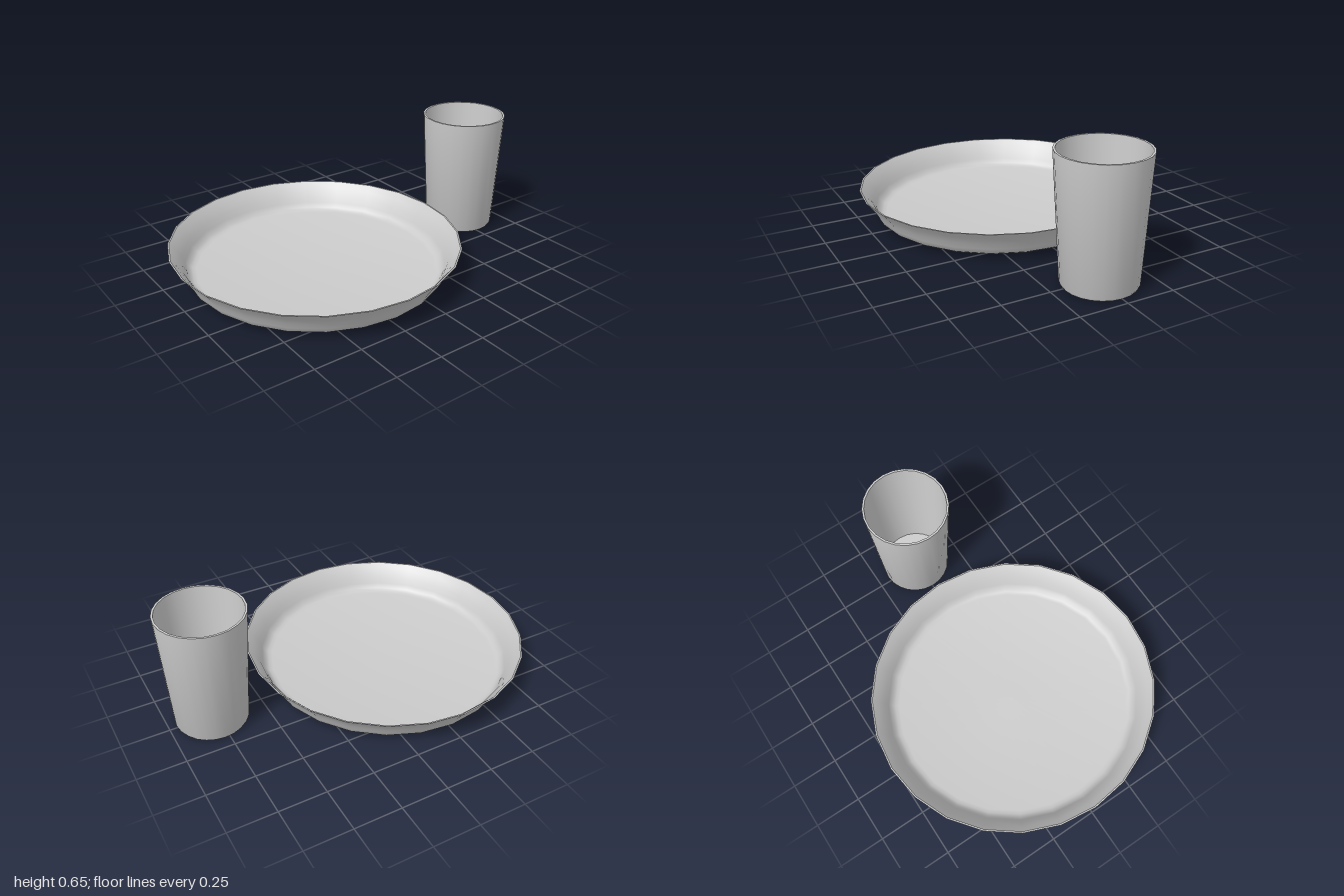
import * as THREE from 'three';
import { toCreasedNormals } from 'three/addons/utils/BufferGeometryUtils.js';

const material = new THREE.MeshStandardMaterial({ color: 0xcccccc });

// Turned part: the profile runs from the underside centre, up the outside,
// over the rim and down the inside to the floor centre.
function turned(name, profile, z) {
  const points = profile.map(([r, y]) => new THREE.Vector2(r, y));
  const geometry = toCreasedNormals(new THREE.LatheGeometry(points, 24), 0.8);
  const mesh = new THREE.Mesh(geometry, material);
  mesh.name = name;
  mesh.position.z = z;
  return mesh;
}

export function createModel() {
  const group = new THREE.Group();
  group.name = 'plateAndCup';

  // Shallow plate with a flared, thin rim, slightly wider than deep
  const plate = turned('plate', [
    [0, 0.018], [0.636, 0.018], [0.66, 0.022], [0.682, 0.036], [0.698, 0.065],
    [0.714, 0.098], [0.745, 0.142], [0.772, 0.174],
    [0.764, 0.174], [0.736, 0.143], [0.705, 0.1], [0.689, 0.068],
    [0.674, 0.042], [0.655, 0.03], [0.634, 0.026], [0, 0.026],
  ], 0.247);
  plate.scale.z = 0.975;
  group.add(plate);

  // Tapered cup with a small bevel at the foot
  group.add(turned('cup', [
    [0, 0], [0.183, 0], [0.19, 0.012], [0.227, 0.654],
    [0.216, 0.654], [0.179, 0.02], [0, 0.02],
  ], -0.773));

  return group;
}
